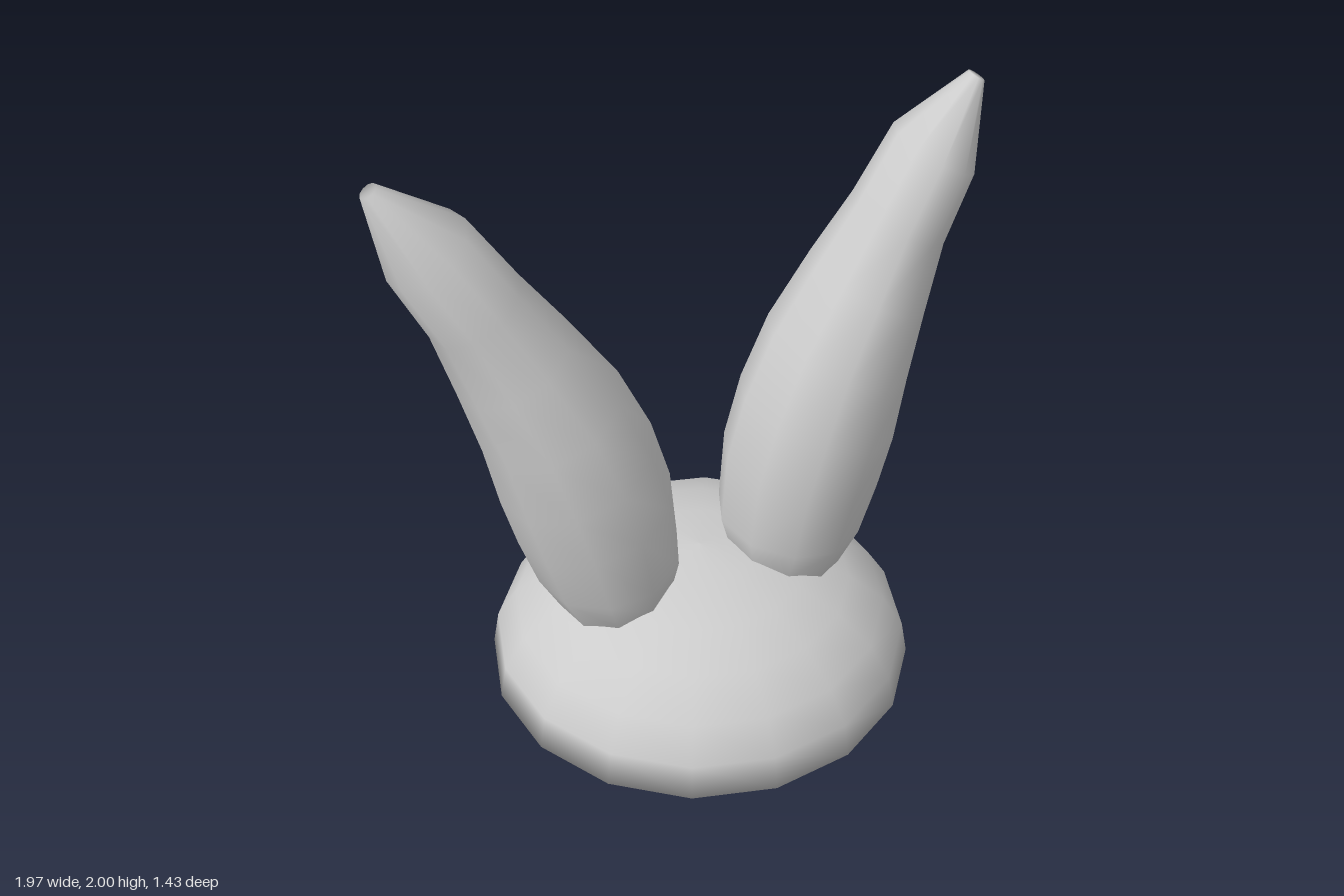
import * as THREE from 'three';

// Ear rings, bottom to tip: inner x, inner y, outer x, outer y, front z, back z
const EAR_RINGS = [
  [0.15, 0.34, 0.45, 0.27, 0.16, -0.16],
  [0.105, 0.44, 0.49, 0.34, 0.205, -0.205],
  [0.08, 0.54, 0.56, 0.47, 0.235, -0.24],
  [0.10, 0.79, 0.62, 0.65, 0.245, -0.262],
  [0.16, 1.01, 0.668, 0.83, 0.243, -0.27],
  [0.26, 1.23, 0.71, 1.04, 0.213, -0.268],
  [0.41, 1.45, 0.77, 1.26, 0.155, -0.253],
  [0.55, 1.64, 0.835, 1.48, 0.095, -0.23],
  [0.69, 1.85, 0.94, 1.69, 0.05, -0.24],
  [0.935, 2.0, 0.985, 1.965, -0.10, -0.155],
];
const SIDES = 10;

// Loft tilted oval rings into a closed ear; side is 1 (left) or -1 (right)
function earGeometry(side) {
  const positions = [];
  const index = [];
  const face = (a, b, c) => (side > 0 ? index.push(a, b, c) : index.push(a, c, b));
  for (const [ix, iy, ox, oy, front, back] of EAR_RINGS) {
    const depth = (front - back) / 2 / Math.sin(Math.PI * 0.4);
    for (let i = 0; i < SIDES; i++) {
      const a = (i / SIDES) * Math.PI * 2;
      const t = (1 + Math.cos(a)) / 2;
      positions.push(
        side * (ix + (ox - ix) * t),
        iy + (oy - iy) * t,
        (front + back) / 2 + depth * Math.sin(a)
      );
    }
  }
  const last = (EAR_RINGS.length - 1) * SIDES;
  for (let r = 0; r < last; r += SIDES) {
    for (let i = 0; i < SIDES; i++) {
      const a = r + i;
      const b = r + ((i + 1) % SIDES);
      face(a, a + SIDES, b);
      face(b, a + SIDES, b + SIDES);
    }
  }
  // End caps
  for (let i = 1; i < SIDES - 1; i++) {
    face(0, i, i + 1);
    face(last, last + i + 1, last + i);
  }
  const geometry = new THREE.BufferGeometry();
  geometry.setAttribute('position', new THREE.Float32BufferAttribute(positions, 3));
  geometry.setIndex(index);
  geometry.computeVertexNormals();
  return geometry;
}

export function createModel() {
  const group = new THREE.Group();
  group.name = 'rabbitEarCap';
  const grey = new THREE.MeshStandardMaterial({ color: 0xcccccc });
  grey.name = 'plainGrey';

  // Low dome with a flat underside
  const profile = [
    [0, 0], [0.715, 0], [0.695, 0.12], [0.625, 0.235], [0.505, 0.335],
    [0.36, 0.405], [0.19, 0.452], [0, 0.465],
  ].map(([x, y]) => new THREE.Vector2(x, y));
  const dome = new THREE.Mesh(new THREE.LatheGeometry(profile, 16), grey);
  dome.name = 'domeBase';
  group.add(dome);

  // Mirrored pair of ears
  for (const side of [1, -1]) {
    const ear = new THREE.Mesh(earGeometry(side), grey);
    ear.name = side > 0 ? 'leftEar' : 'rightEar';
    group.add(ear);
  }
  return group;
}
